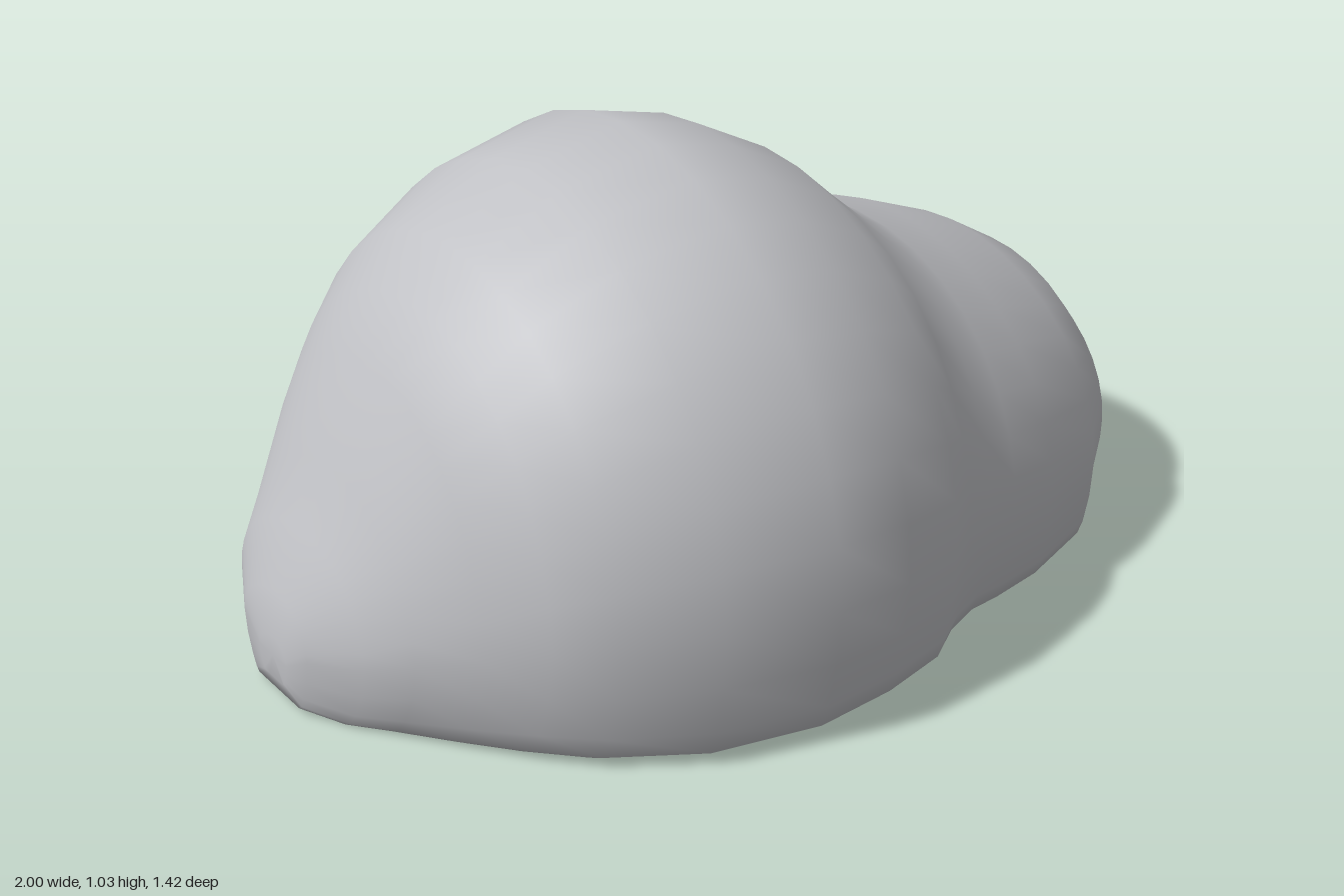
import * as THREE from 'three';

const { smoothstep } = THREE.MathUtils;

// Cross-sections along x: [x, top y, widest y, base y, back z, front z]
const SECTIONS = [
  [-1.0, 0.15, 0.11, 0.06, -0.11, 0.0],
  [-0.985, 0.24, 0.14, 0.02, -0.2, 0.06],
  [-0.93, 0.36, 0.16, 0.005, -0.32, 0.18],
  [-0.87, 0.48, 0.19, 0.005, -0.375, 0.27],
  [-0.79, 0.68, 0.23, 0.005, -0.44, 0.385],
  [-0.71, 0.785, 0.27, 0.008, -0.515, 0.49],
  [-0.62, 0.88, 0.29, 0.01, -0.59, 0.575],
  [-0.45, 0.985, 0.3, 0.012, -0.67, 0.66],
  [-0.23, 1.04, 0.3, 0.017, -0.71, 0.71],
  [-0.05, 1.0, 0.29, 0.02, -0.68, 0.685],
  [0.11, 0.92, 0.28, 0.018, -0.64, 0.63],
  [0.2, 0.84, 0.26, 0.018, -0.637, 0.56],
  [0.29, 0.765, 0.24, 0.017, -0.64, 0.515],
  [0.37, 0.72, 0.23, 0.016, -0.645, 0.5],
  [0.5, 0.68, 0.22, 0.015, -0.65, 0.465],
  [0.7, 0.6, 0.2, 0.01, -0.6, 0.37],
  [0.82, 0.53, 0.19, 0.006, -0.515, 0.26],
  [0.9, 0.44, 0.18, 0.005, -0.41, 0.18],
  [0.96, 0.35, 0.18, 0.02, -0.3, 0.09],
  [0.985, 0.28, 0.18, 0.05, -0.245, 0.02],
  [1.0, 0.23, 0.18, 0.13, -0.19, -0.06],
];

// Lower side of a section: [share of half width, share of the drop to the base]
const LOWER = [[0.985, 0.4], [0.955, 0.75], [0.925, 0.93], [0.86, 1], [0.45, 1]];
const ARC = 18;

function sectionPoints([x, top, mid, base, back, front]) {
  const centre = (back + front) / 2, half = (front - back) / 2;
  // the ridge line swings back over the small lobe; both ends round under at the base
  const ridge = -0.12 * smoothstep(x, 0.25, 0.65) - 0.05 * smoothstep(-x, 0.75, 1);
  const tuck = 0.4 * smoothstep(x, 0.68, 1) + 0.25 * smoothstep(-x, 0.45, 1);
  const points = [];
  // rounded upper half, from front to back, leaning towards the ridge
  for (let j = 0; j <= ARC; j++) {
    const a = (j / ARC) * Math.PI, s = Math.sin(a);
    points.push([x, mid + (top - mid) * s, centre + half * Math.cos(a) + (ridge - centre) * s * s]);
  }
  // steep flanks tucking into the flat base
  const low = (side) => ([w, d]) =>
    [x, mid + (base - mid) * d, centre + side * half * w * (1 - tuck * d * d)];
  points.push(...LOWER.map(low(-1)), [x, base, centre], ...LOWER.map(low(1)).reverse());
  return points;
}

function rockGeometry() {
  const rings = SECTIONS.map(sectionPoints);
  const n = rings[0].length, last = rings.length - 1;
  const positions = rings.flat(2), index = [];
  for (let i = 0; i < last; i++) {
    for (let j = 0; j < n; j++) {
      const k = (j + 1) % n;
      const a = i * n + j, b = a + n, c = i * n + k, d = c + n;
      index.push(a, b, c, b, d, c);
    }
  }
  // close both ends
  for (const [i, flip] of [[0, false], [last, true]]) {
    const [x, , mid, , back, front] = SECTIONS[i];
    const tip = positions.length / 3;
    positions.push(x, mid, (back + front) / 2);
    for (let j = 0; j < n; j++) {
      const a = i * n + j, b = i * n + ((j + 1) % n);
      index.push(tip, flip ? b : a, flip ? a : b);
    }
  }
  const geometry = new THREE.BufferGeometry();
  geometry.setAttribute('position', new THREE.Float32BufferAttribute(positions, 3));
  geometry.setIndex(index);
  geometry.computeVertexNormals();
  return geometry;
}

export function createModel() {
  const stone = new THREE.MeshStandardMaterial({ color: 0xc0c1c5 });
  stone.name = 'light grey stone';
  const rock = new THREE.Mesh(rockGeometry(), stone);
  rock.name = 'rock';
  const group = new THREE.Group();
  group.name = 'boulder';
  group.add(rock);
  return group;
}
